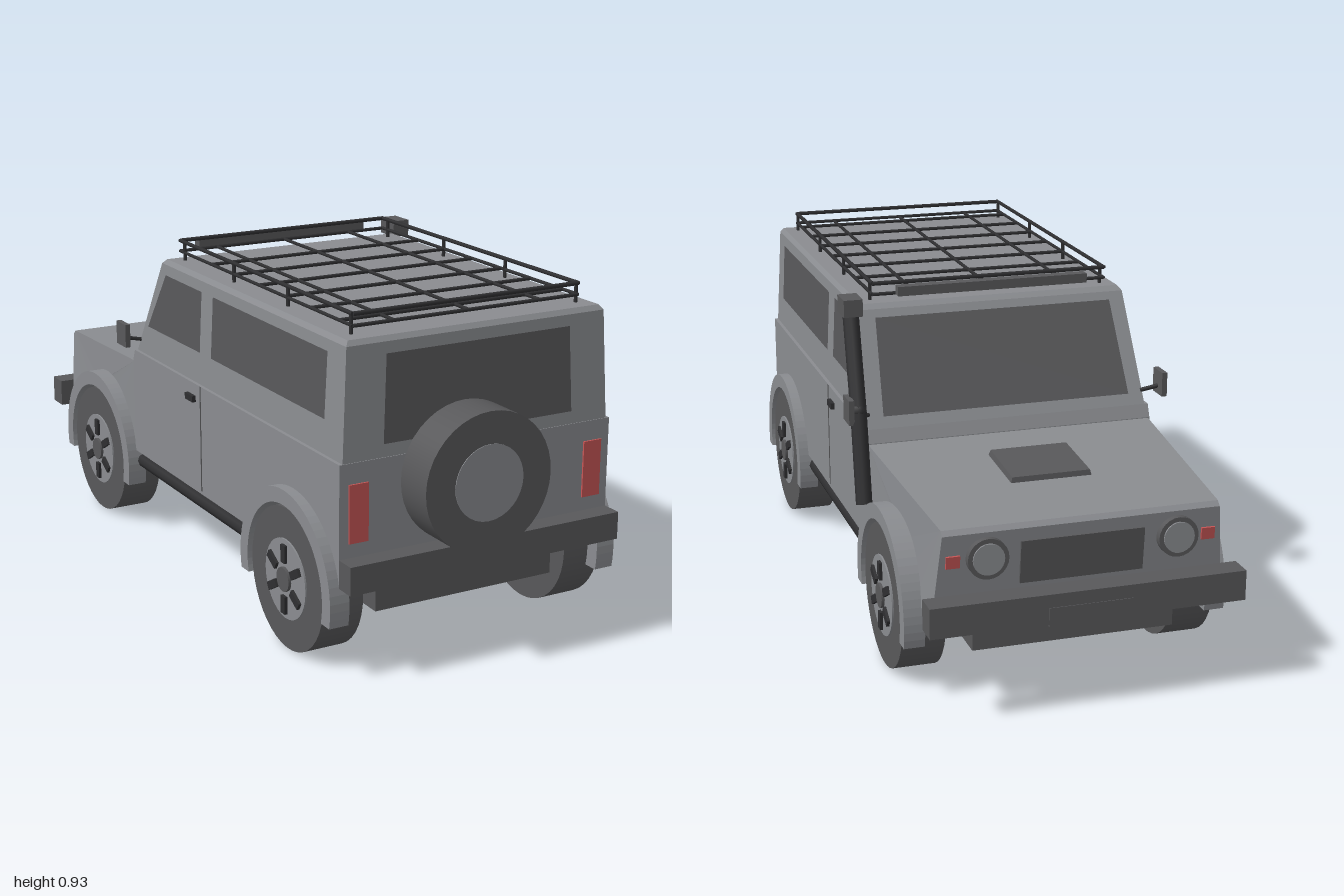
import * as THREE from 'three';

const mat = (name, color, side = THREE.FrontSide) => {
  const m = new THREE.MeshStandardMaterial({ color, side });
  m.name = name;
  return m;
};

export function createModel() {
  const model = new THREE.Group();
  model.name = 'offRoader';
  const paint = mat('greyPaint', 0x8a8c90);
  const dark = mat('darkGrey', 0x58585a);
  const glass = mat('tintedGlass', 0x58585a, THREE.DoubleSide);
  const black = mat('blackTrim', 0x2f2f31);
  const red = mat('redLamp', 0xc65555);

  const add = (name, geo, material, pos = [0, 0, 0], parent = model) => {
    const m = new THREE.Mesh(geo, material);
    m.name = name;
    m.position.set(...pos);
    parent.add(m);
    return m;
  };
  // box given by its min and max on each axis
  const box = (name, material, x0, x1, y0, y1, z0, z1) =>
    add(name, new THREE.BoxGeometry(x1 - x0, y1 - y0, z1 - z0), material,
      [(x0 + x1) / 2, (y0 + y1) / 2, (z0 + z1) / 2]);
  // straight rod between two points
  const rod = (name, material, p, q, r, sides = 6) => {
    const a = new THREE.Vector3(...p), b = new THREE.Vector3(...q);
    const m = add(name, new THREE.CylinderGeometry(r, r, a.distanceTo(b), sides), material);
    m.position.copy(a).lerp(b, 0.5);
    m.quaternion.setFromUnitVectors(new THREE.Vector3(0, 1, 0), b.sub(a).normalize());
    return m;
  };
  // thin pane from four corners
  const pane = (name, material, c) => {
    const g = new THREE.BufferGeometry();
    g.setAttribute('position', new THREE.Float32BufferAttribute(c.flat(), 3));
    g.setIndex([0, 1, 2, 0, 2, 3]);
    g.computeVertexNormals();
    return add(name, g, material);
  };
  // side profile in (z, y) extruded across the car, half width set by a rule
  const hull = (name, shape, half) => {
    const g = new THREE.ExtrudeGeometry(shape, { depth: 1, bevelEnabled: false, curveSegments: 24 });
    const p = g.attributes.position;
    for (let i = 0; i < p.count; i++) {
      const z = p.getX(i), y = p.getY(i), s = p.getZ(i) > 0.5 ? -1 : 1;
      p.setXYZ(i, s * half(z, y), y, z);
    }
    g.computeVertexNormals();
    return add(name, g, paint);
  };
  const outline = (pts) => new THREE.Shape(pts.map((p) => new THREE.Vector2(...p)));

  const wheelY = 0.192, wheelR = 0.192, rearZ = 0.635, frontZ = -0.59;
  const archR = 0.205, archDy = 0.25 - wheelY;
  const archA = Math.asin(archDy / archR), archX = Math.cos(archA) * archR;
  const arch = (s, z) => {
    s.lineTo(z - archX, 0.25);
    s.absarc(z, wheelY, archR, Math.PI - archA, archA, true);
  };

  // Lower body with rear wheel arches
  const lower = new THREE.Shape();
  lower.moveTo(-0.36, 0.25);
  arch(lower, rearZ);
  lower.lineTo(0.87, 0.25);
  lower.lineTo(0.87, 0.565);
  lower.lineTo(-0.345, 0.565);
  lower.lineTo(-0.36, 0.53);
  hull('lowerBody', lower, () => 0.406);

  // Nose with front wheel arches, tapering forwards
  const nose = new THREE.Shape();
  nose.moveTo(-0.91, 0.25);
  arch(nose, frontZ);
  nose.lineTo(-0.36, 0.25);
  nose.lineTo(-0.36, 0.528);
  nose.lineTo(-0.92, 0.487);
  nose.lineTo(-0.932, 0.475);
  hull('nose', nose, (z, y) => {
    const t = (-0.36 - z) / 0.57, u = (y - 0.25) / 0.25;
    return THREE.MathUtils.lerp(0.405 - 0.02 * t, 0.402 - 0.04 * t, u);
  });

  // Cabin and chamfered roof
  const cabinHalf = (y) => 0.396 - (y - 0.565) * 0.05;
  const screenZ = (y) => -0.19 - (0.855 - y) * 0.534;
  const rearWallZ = (y) => 0.868 - (y - 0.565) * 0.0345;
  hull('cabin', outline([[-0.345, 0.565], [0.868, 0.565], [0.858, 0.855], [-0.19, 0.855]]),
    (z, y) => cabinHalf(y));
  hull('roof', outline([[-0.19, 0.855], [0.858, 0.855], [0.848, 0.868], [-0.175, 0.868]]),
    (z, y) => (y > 0.86 ? 0.372 : cabinHalf(0.855)));

  // Windscreen and rear window
  const screen = (x, y) => [x, y, screenZ(y) - 0.004];
  pane('windscreen', glass, [screen(-0.352, 0.595), screen(-0.338, 0.835), screen(0.338, 0.835), screen(0.352, 0.595)]);
  const back = (x, y) => [x, y, rearWallZ(y) + 0.004];
  pane('rearWindow', glass, [back(-0.282, 0.6), back(0.282, 0.6), back(0.272, 0.826), back(-0.272, 0.826)]);

  // Everything mirrored left and right
  for (const s of [1, -1]) {
    const span = (name, m, a, b, ...rest) => box(name, m, Math.min(s * a, s * b), Math.max(s * a, s * b), ...rest);
    const side = (z, y) => [s * (cabinHalf(y) + 0.003), y, z];
    pane('rearSideWindow', glass, [side(0.775, 0.655), side(0.145, 0.655), side(0.145, 0.826), side(0.775, 0.826)]);
    pane('doorWindow', glass, [side(0.075, 0.655), side(-0.27, 0.652), side(-0.158, 0.826), side(0.075, 0.826)]);
    span('doorSeam', dark, 0.404, 0.4075, 0.26, 0.565, 0.096, 0.1);
    span('doorHandle', black, 0.404, 0.417, 0.513, 0.531, 0.02, 0.068);
    span('tailLamp', red, 0.325, 0.38, 0.358, 0.511, 0.868, 0.875);
    rod('sideStep', black, [s * 0.385, 0.217, 0.42], [s * 0.385, 0.217, -0.385], 0.02, 8);

    // Mirror on a short arm
    rod('mirrorArm', black, [s * 0.39, 0.6, -0.325], [s * 0.447, 0.612, -0.332], 0.006);
    span('mirror', dark, 0.439, 0.454, 0.588, 0.656, -0.365, -0.3);

    // Head lamp and indicator
    const bezel = add('headlampRing', new THREE.CylinderGeometry(0.053, 0.053, 0.03, 24), dark, [s * 0.25, 0.41, -0.931]);
    const lens = add('headlampLens', new THREE.CylinderGeometry(0.041, 0.041, 0.006, 24), paint, [s * 0.25, 0.41, -0.947]);
    bezel.rotation.x = lens.rotation.x = Math.PI / 2;
    const blinker = add('indicator', new THREE.BoxGeometry(0.036, 0.032, 0.008), red, [s * 0.336, 0.405, -0.927]);
    blinker.rotation.x = -0.09;

    // Wheels and flares
    for (const z of [rearZ, frontZ]) {
      const wheel = new THREE.Group();
      wheel.name = 'wheel';
      wheel.position.set(s * 0.368, wheelY, z);
      wheel.rotation.z = -s * Math.PI / 2;
      model.add(wheel);
      add('tyre', new THREE.CylinderGeometry(wheelR, wheelR, 0.115, 40), dark, [0, 0, 0], wheel);
      add('rim', new THREE.CylinderGeometry(0.108, 0.108, 0.01, 32), paint, [0, 0.057, 0], wheel);
      add('hub', new THREE.CylinderGeometry(0.033, 0.033, 0.012, 16), dark, [0, 0.064, 0], wheel);
      for (let i = 0; i < 6; i++) {
        const a = i * Math.PI / 3;
        const spoke = add('spoke', new THREE.BoxGeometry(0.048, 0.014, 0.022), black,
          [Math.cos(a) * 0.07, 0.063, Math.sin(a) * 0.07], wheel);
        spoke.rotation.y = -a;
      }
      const ring = new THREE.Shape();
      ring.absarc(0, 0, 0.243, -0.2, Math.PI + 0.2, false);
      ring.absarc(0, 0, 0.202, Math.PI + 0.24, -0.24, true);
      const flare = add('wheelFlare', new THREE.ExtrudeGeometry(ring, { depth: 0.055, bevelEnabled: false, curveSegments: 20 }),
        paint, [s > 0 ? 0.38 : -0.435, wheelY, z]);
      flare.rotation.y = Math.PI / 2;
    }
  }

  // Chassis and bumpers
  box('chassis', dark, -0.27, 0.27, 0.138, 0.235, -0.875, 0.82);
  box('rearBumper', dark, -0.406, 0.406, 0.245, 0.32, 0.865, 0.927);
  box('frontBumper', dark, -0.415, 0.415, 0.24, 0.32, -0.998, -0.932);
  box('bumperMount', dark, -0.3, 0.3, 0.25, 0.31, -0.935, -0.9);
  box('frontPlate', dark, -0.11, 0.11, 0.234, 0.285, -1, -0.992);
  box('towMount', dark, -0.08, 0.08, 0.232, 0.248, -0.97, -0.86);

  // Grille and bonnet scoop
  const grille = add('grille', new THREE.BoxGeometry(0.325, 0.115, 0.009), dark, [0, 0.385, -0.925]);
  grille.rotation.x = -0.09;
  const scoopGeo = new THREE.BoxGeometry(0.23, 0.035, 0.2);
  const sp = scoopGeo.attributes.position;
  for (let i = 0; i < sp.count; i++) if (sp.getY(i) > 0) sp.setXYZ(i, sp.getX(i) * 0.92, sp.getY(i), sp.getZ(i) * 0.92);
  scoopGeo.computeVertexNormals();
  add('bonnetScoop', scoopGeo, dark, [0, 0.508, -0.597]).rotation.x = -0.08;

  // Spare wheel
  const spare = add('spareTyre', new THREE.CylinderGeometry(0.184, 0.184, 0.115, 40), dark, [-0.055, 0.501, 0.9405]);
  spare.rotation.x = Math.PI / 2;
  add('spareCover', new THREE.CylinderGeometry(0.1, 0.1, 0.006, 32), paint, [0, 0.0565, 0], spare);
  box('spareMount', dark, -0.12, 0.01, 0.43, 0.57, 0.86, 0.9);

  // Roof rack: floor grid, upper rail, posts
  const rx = 0.335, z0 = -0.165, z1 = 0.808, floorY = 0.89, railY = 0.92;
  for (const x of [-rx, -0.218, 0, 0.216, rx]) rod('rackRunner', black, [x, floorY, z0], [x, floorY, z1], 0.005);
  for (const z of [z0, 0.037, 0.178, 0.32, 0.462, 0.6, 0.743, z1]) rod('rackCrossbar', black, [-rx, floorY, z], [rx, floorY, z], 0.005);
  for (const x of [-rx, rx]) {
    rod('rackRail', black, [x, railY, z0], [x, railY, z1], 0.006);
    for (const z of [-0.135, 0.173, 0.48, 0.8]) rod('rackPost', black, [x, 0.865, z], [x, railY, z], 0.005);
  }
  for (const z of [z0, z1]) rod('rackRail', black, [-rx, railY, z], [rx, railY, z], 0.006);
  box('lightBar', dark, -0.272, 0.272, 0.888, 0.914, -0.2, -0.17);

  // Raised air intake on the left
  const a = [0.41, 0.87, -0.215], b = [0.423, 0.62, -0.342], c = [0.432, 0.385, -0.425];
  rod('intakeUpper', black, a, b, 0.022, 8);
  rod('intakeLower', black, b, c, 0.022, 8);
  add('intakeElbow', new THREE.SphereGeometry(0.023, 10, 8), black, b);
  box('intakeHead', dark, 0.385, 0.437, 0.855, 0.902, -0.257, -0.182);

  return model;
}
